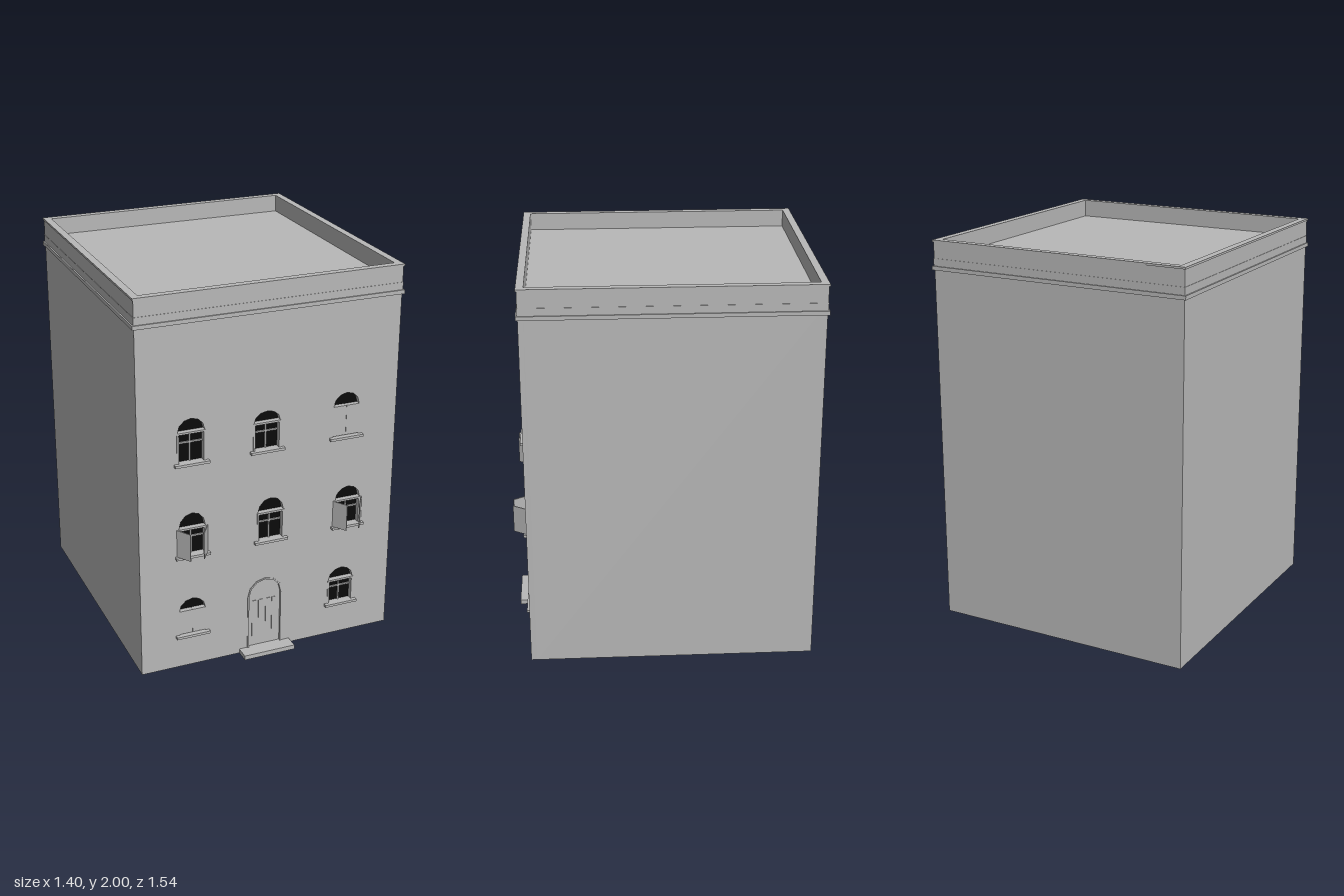
import * as THREE from 'three';

const stone = new THREE.MeshStandardMaterial({ color: 0xb8b8b8 });
stone.name = 'stone grey';
const dark = new THREE.MeshStandardMaterial({ color: 0x0a0a0a });
dark.name = 'window black';

const HX = 0.69, BACK = -0.757, FRONT = 0.697, RECESS = 0.03;
const GLASS = FRONT - RECESS;

// Windows: centre x, bottom, arch spring, arch top and shutter state
const WINDOWS = [
  { x: -0.415, b: 1.14, s: 1.3, t: 1.368, kind: 'plain' },
  { x: -0.018, b: 1.14, s: 1.285, t: 1.342, kind: 'plain' },
  { x: 0.412, b: 1.14, s: 1.303, t: 1.372, kind: 'closed' },
  { x: -0.413, b: 0.638, s: 0.785, t: 0.865, kind: 'open' },
  { x: 0.008, b: 0.638, s: 0.793, t: 0.868, kind: 'plain' },
  { x: 0.437, b: 0.638, s: 0.782, t: 0.853, kind: 'open' },
  { x: -0.415, b: 0.185, s: 0.32, t: 0.386, kind: 'closed' },
  { x: 0.415, b: 0.185, s: 0.32, t: 0.386, kind: 'plain' },
];
const DOOR = { x: -0.017, b: 0.02, s: 0.32, t: 0.41 };

// Box given by its minimum and maximum on each axis
function box(parent, name, x0, x1, y0, y1, z0, z1, material = stone) {
  const mesh = new THREE.Mesh(new THREE.BoxGeometry(x1 - x0, y1 - y0, z1 - z0), material);
  mesh.position.set((x0 + x1) / 2, (y0 + y1) / 2, (z0 + z1) / 2);
  mesh.name = name;
  parent.add(mesh);
  return mesh;
}

// Faceted arch outline, optionally grown outwards
function archPoints({ x, b, s, t }, half, grow = 0) {
  const pts = [new THREE.Vector2(x - half - grow, b), new THREE.Vector2(x + half + grow, b)];
  for (let i = 0; i <= 6; i++) {
    const a = (i / 6) * Math.PI;
    pts.push(new THREE.Vector2(x + (half + grow) * Math.cos(a), s + (t - s + grow) * Math.sin(a)));
  }
  return pts;
}

function extrude(parent, name, shape, z, depth, material = stone) {
  const geo = new THREE.ExtrudeGeometry(shape, { depth, bevelEnabled: false });
  const mesh = new THREE.Mesh(geo, material);
  mesh.position.z = z;
  mesh.name = name;
  parent.add(mesh);
  return mesh;
}

function rectPoints(x0, x1, y0, y1) {
  return [[x0, y0], [x1, y0], [x1, y1], [x0, y1]].map(([x, y]) => new THREE.Vector2(x, y));
}

// Rectangular ring lying flat around the roof
function ring(parent, name, out, inset, y0, y1) {
  const shape = new THREE.Shape(rectPoints(-HX - out, HX + out, -FRONT - out, -BACK + out));
  shape.holes.push(new THREE.Path(rectPoints(-HX + inset, HX - inset, -FRONT + inset, -BACK - inset)));
  const mesh = extrude(parent, name, shape, 0, y1 - y0);
  mesh.rotation.x = -Math.PI / 2;
  mesh.position.y = y0;
}

function addWindow(parent, w) {
  const g = new THREE.Group();
  g.name = 'window';
  parent.add(g);
  const half = 0.07;
  // Dark pane behind the opening
  extrude(g, 'pane', new THREE.Shape(archPoints(w, half)), GLASS, 0.004, dark);
  box(g, 'sill', w.x - 0.09, w.x + 0.09, w.b - 0.013, w.b, GLASS, 0.718);
  if (w.kind === 'closed') {
    for (const [a, c] of [[-half, -0.0005], [0.0005, half]]) {
      box(g, 'closedShutter', w.x + a, w.x + c, w.b + 0.004, w.s, GLASS, FRONT);
    }
    return;
  }
  // Jambs, transom and glazing bars
  for (const sx of [-1, 1]) {
    const a = w.x + sx * (half - 0.006), c = w.x + sx * (half + 0.004);
    box(g, 'jamb', Math.min(a, c), Math.max(a, c), w.b, w.s, GLASS, FRONT + 0.003);
  }
  box(g, 'transom', w.x - half - 0.004, w.x + half + 0.004, w.s - 0.01, w.s, GLASS, FRONT + 0.003);
  const mid = w.b + (w.s - w.b) * 0.62;
  box(g, 'crossBar', w.x - half, w.x + half, mid - 0.004, mid + 0.004, GLASS, GLASS + 0.012);
  box(g, 'uprightBar', w.x - 0.004, w.x + 0.004, w.b, w.s, GLASS, GLASS + 0.012);
  // Shutters swung outwards
  if (w.kind === 'open') {
    for (const sx of [-1, 1]) {
      const dx = 0.045, dz = 0.07;
      const leaf = new THREE.Mesh(new THREE.BoxGeometry(Math.hypot(dx, dz), w.s - w.b, 0.005), stone);
      leaf.name = 'openShutter';
      leaf.position.set(w.x + sx * (0.08 - dx / 2), (w.b + w.s) / 2, FRONT + dz / 2);
      leaf.rotation.y = sx * Math.atan2(dz, dx);
      g.add(leaf);
    }
  }
}

function addDoor(parent) {
  const g = new THREE.Group();
  g.name = 'door';
  parent.add(g);
  extrude(g, 'doorPanel', new THREE.Shape(archPoints(DOOR, 0.088)), GLASS, 0.02);
  // Arched surround
  const rim = new THREE.Shape(archPoints(DOOR, 0.088, 0.008));
  rim.holes.push(new THREE.Path(archPoints(DOOR, 0.088)));
  extrude(g, 'doorSurround', rim, GLASS, RECESS + 0.004);
  // Raised planks
  for (const dx of [-0.055, -0.02, 0.02, 0.055]) {
    box(g, 'plank', DOOR.x + dx - 0.012, DOOR.x + dx + 0.012, 0.08, 0.29, GLASS + 0.02, GLASS + 0.023);
  }
  box(g, 'doorstep', -0.157, 0.123, 0, 0.024, GLASS, 0.77);
}

export function createModel() {
  const model = new THREE.Group();
  model.name = 'building';

  // Main block and the pierced front wall
  box(model, 'mainBlock', -HX, HX, 0, 1.91, BACK, GLASS);
  const wall = new THREE.Shape(rectPoints(-HX, HX, 0, 1.91));
  for (const w of WINDOWS) wall.holes.push(new THREE.Path(archPoints(w, 0.07)));
  wall.holes.push(new THREE.Path(archPoints(DOOR, 0.088)));
  extrude(model, 'frontWall', wall, GLASS, RECESS);

  for (const w of WINDOWS) addWindow(model, w);
  addDoor(model);

  // Cornice bands and parapet
  ring(model, 'cornice', 0.01, 0.03, 1.85, 1.87);
  ring(model, 'frieze', 0.003, 0.03, 1.87, 1.908);
  ring(model, 'parapet', 0.001, 0.032, 1.9, 1.99);
  ring(model, 'coping', 0.006, 0.032, 1.99, 2);
  return model;
}
